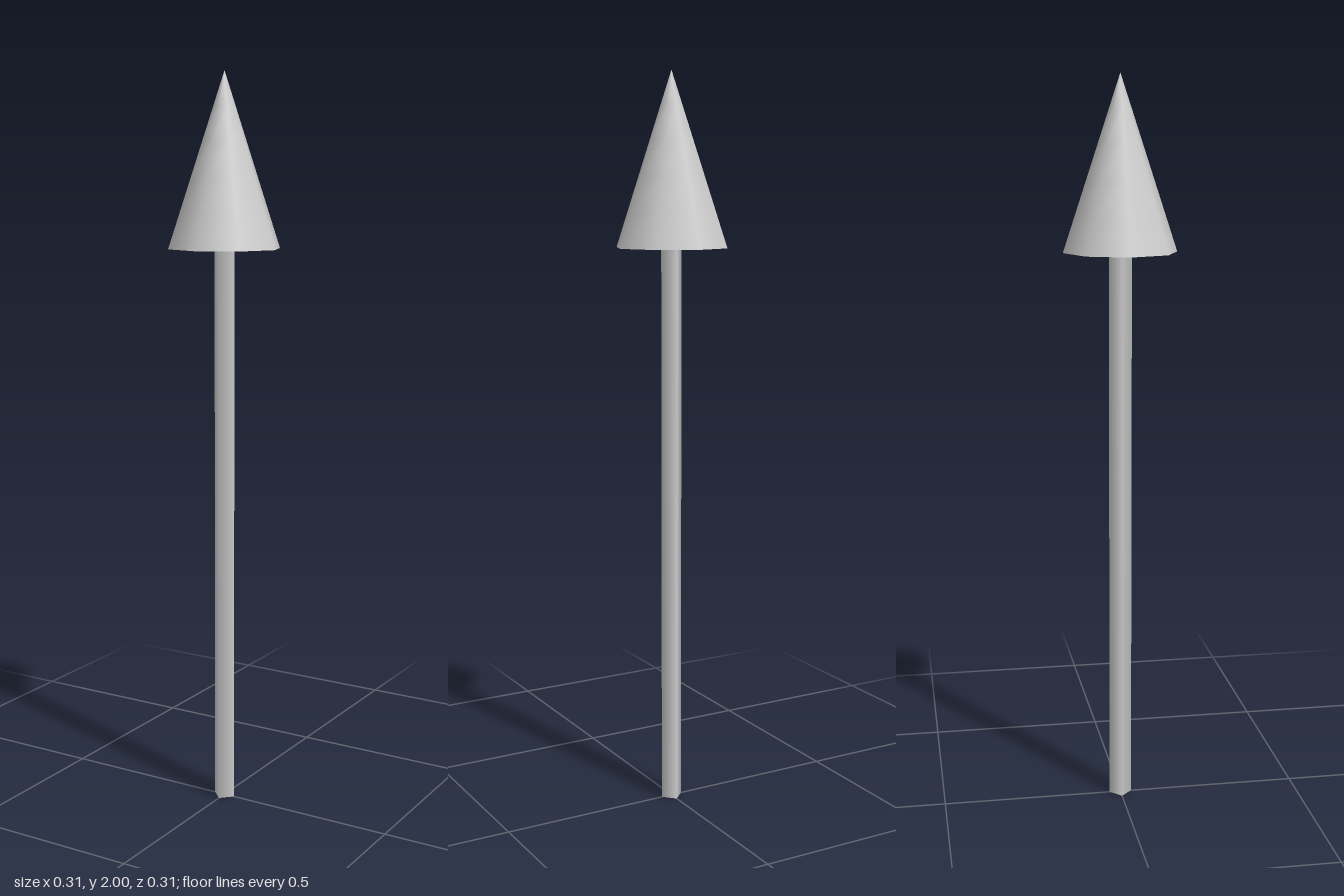
import * as THREE from 'three';

const HEIGHT = 2;
const HEAD_BASE = 1.54; // height where the shaft meets the head
const HEAD_RADIUS = 0.153;
const SHAFT_RADIUS = 0.031;

export function createModel() {
  const model = new THREE.Group();
  model.name = 'arrow';
  const material = new THREE.MeshStandardMaterial({ color: 0xcccccc });

  function addPart(name, geometry, bottom, height) {
    const mesh = new THREE.Mesh(geometry, material);
    mesh.name = name;
    mesh.position.y = bottom + height / 2;
    model.add(mesh);
  }

  // Four-sided shaft, corners on the x and z axes
  addPart('shaft', new THREE.CylinderGeometry(SHAFT_RADIUS, SHAFT_RADIUS, HEAD_BASE, 4), 0, HEAD_BASE);

  // Eight-sided smooth cone head with a closed base
  const headHeight = HEIGHT - HEAD_BASE;
  addPart('arrowHead', new THREE.ConeGeometry(HEAD_RADIUS, headHeight, 8, 5), HEAD_BASE, headHeight);

  return model;
}
